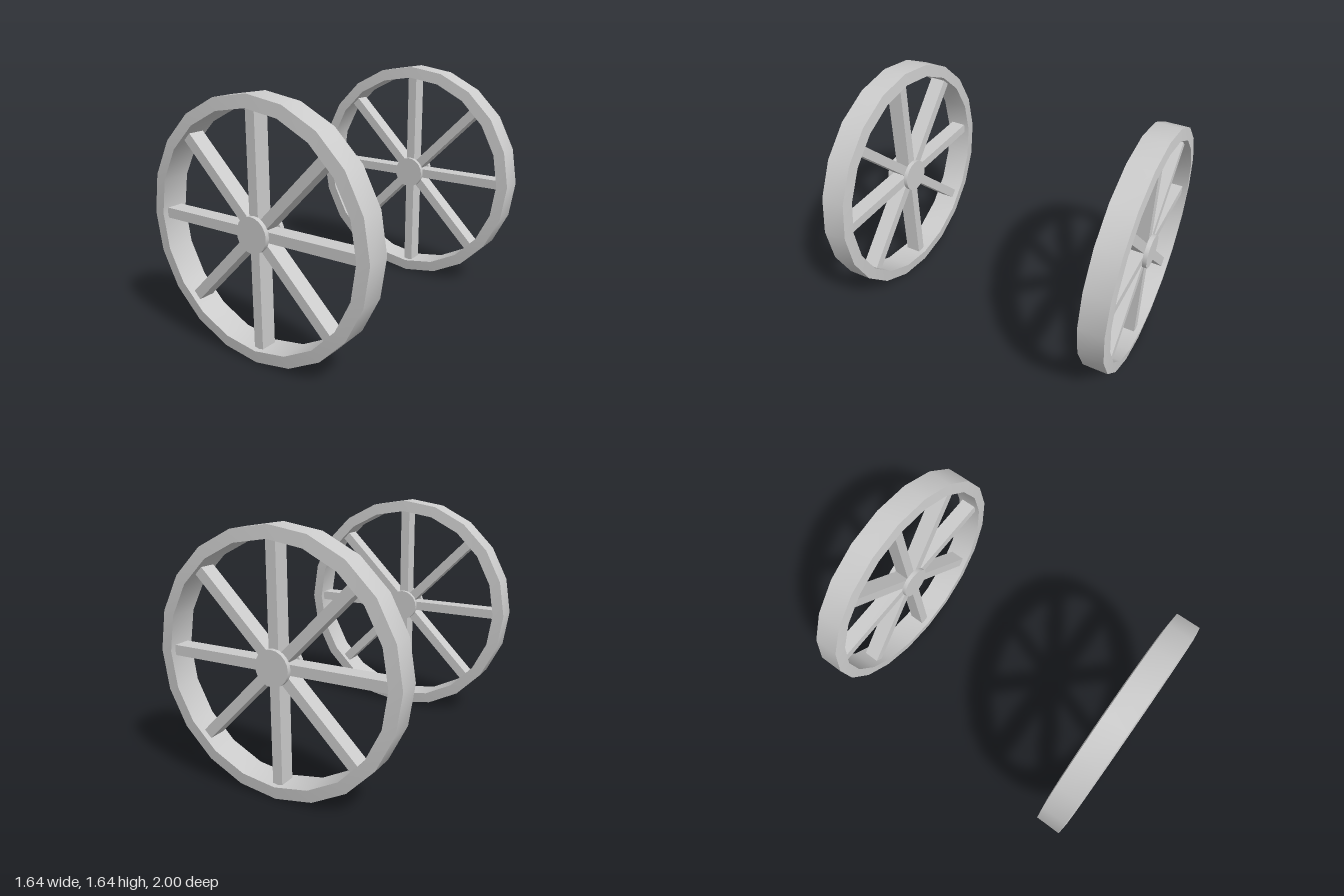
import * as THREE from 'three';
import { toCreasedNormals } from 'three/addons/utils/BufferGeometryUtils.js';

const RADIUS = 0.82, INNER = 0.74, SIDES = 20;
const material = new THREE.MeshStandardMaterial({ color: 0xcccccc });

function part(name, geometry, parent) {
  const mesh = new THREE.Mesh(geometry, material);
  mesh.name = name;
  parent.add(mesh);
  return mesh;
}

function createWheel(name) {
  const wheel = new THREE.Group();
  wheel.name = name;

  // Rim: slightly wider at its inner edge than at the tread
  const profile = [
    [RADIUS, -0.083], [RADIUS, 0.083], [INNER, 0.092], [INNER, -0.092], [RADIUS, -0.083],
  ].map(([r, w]) => new THREE.Vector2(r, w));
  const rim = new THREE.LatheGeometry(profile, SIDES).rotateX(Math.PI / 2);
  part('rim', toCreasedNormals(rim, 0.6), wheel);

  // Four bars crossing at the centre make eight spokes
  for (let i = 0; i < 4; i++) {
    const bar = part('spokeBar', new THREE.BoxGeometry(2 * INNER, 0.066, 0.11), wheel);
    bar.rotation.z = (i * Math.PI) / 4;
  }

  // Hub discs on both faces of the spokes
  for (const side of [1, -1]) {
    const disc = new THREE.CylinderGeometry(0.113, 0.113, 0.03, SIDES).rotateX(Math.PI / 2);
    part('hubDisc', disc, wheel).position.z = side * 0.068;
  }
  return wheel;
}

export function createModel() {
  const model = new THREE.Group();
  model.name = 'wheelPair';
  for (const [name, side] of [['frontWheel', 1], ['backWheel', -1]]) {
    const wheel = createWheel(name);
    wheel.position.set(0, RADIUS, side * 0.908);
    model.add(wheel);
  }
  return model;
}
